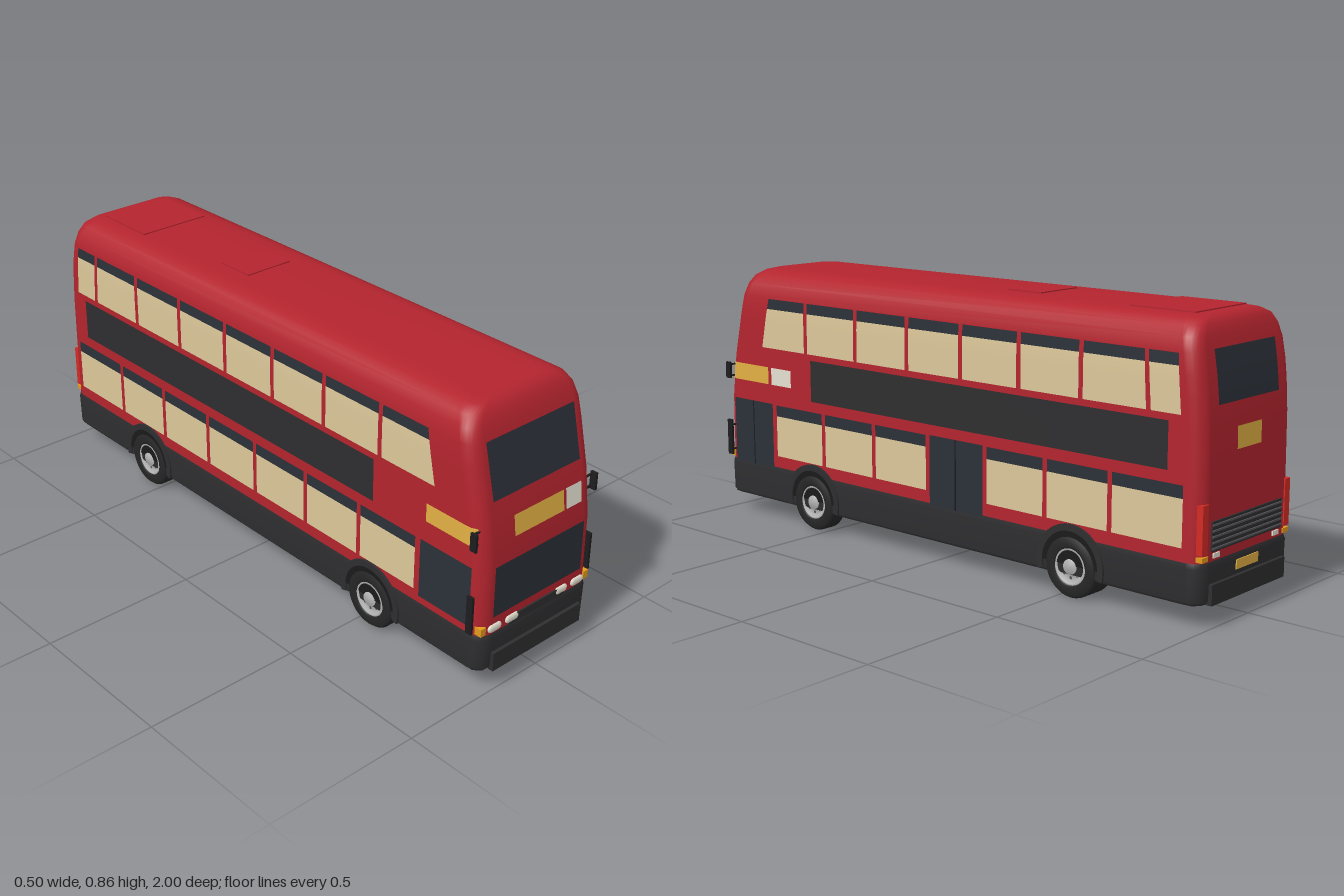
import * as THREE from 'three';

const RED = 0xb3242e, BLACK = 0x2e2e30, GLASS = 0x2b3038, CREAM = 0xdcc79a, AMBER = 0xe2b044, WHITE = 0xe4e0d0;
const R = 0.045; // plan radius of the body corners

// Body levels: [y, half width, front z, back z]
const LEVELS = [
  [0.17, 0.23, 0.985, -0.985], [0.4, 0.23, 0.983, -0.985], [0.55, 0.23, 0.963, -0.983],
  [0.64, 0.23, 0.942, -0.977], [0.7, 0.23, 0.928, -0.97], [0.76, 0.227, 0.914, -0.96],
  [0.8, 0.217, 0.9, -0.95], [0.828, 0.198, 0.885, -0.94], [0.844, 0.165, 0.868, -0.925],
  [0.851, 0.13, 0.845, -0.905],
];
const SKIRT = [[0.065, 0.225, 0.98, -0.98], [0.075, 0.232, 0.988, -0.988], [0.17, 0.233, 0.99, -0.99], [0.185, 0.23, 0.985, -0.985]];

const material = (color, side = THREE.FrontSide) =>
  new THREE.MeshStandardMaterial({ color, side, roughness: 0.6 });

function add(parent, name, geometry, color, position = [0, 0, 0], side) {
  const mesh = new THREE.Mesh(geometry, material(color, side));
  mesh.name = name;
  mesh.position.set(...position);
  parent.add(mesh);
  return mesh;
}
const box = (parent, name, size, position, color) =>
  add(parent, name, new THREE.BoxGeometry(...size), color, position);

// Stack of rounded rectangles, optionally closed on top
function loft(levels, capped) {
  const pos = [], idx = [], steps = 6, n = 4 * (steps + 1);
  for (const [y, w, zf, zb] of levels) {
    for (let c = 0; c < 4; c++) for (let s = 0; s <= steps; s++) {
      const a = (c + s / steps) * Math.PI / 2;
      const cx = (c === 0 || c === 3 ? 1 : -1) * (w - R), cz = c < 2 ? zf - R : zb + R;
      pos.push(cx + R * Math.cos(a), y, cz + R * Math.sin(a));
    }
  }
  for (let l = 0; l < levels.length - 1; l++) for (let i = 0; i < n; i++) {
    const a = l * n + i, b = l * n + (i + 1) % n;
    idx.push(a, a + n, b, b, a + n, b + n);
  }
  if (capped) {
    const top = (levels.length - 1) * n, c = pos.length / 3;
    pos.push(0, levels[levels.length - 1][0] + 0.002, 0);
    for (let i = 0; i < n; i++) idx.push(c, top + (i + 1) % n, top + i);
  }
  const g = new THREE.BufferGeometry();
  g.setAttribute('position', new THREE.Float32BufferAttribute(pos, 3));
  g.setIndex(idx);
  g.computeVertexNormals();
  return g;
}

function levelAt(y) {
  let i = 0;
  while (i < LEVELS.length - 2 && y > LEVELS[i + 1][0]) i++;
  const a = LEVELS[i], b = LEVELS[i + 1];
  const t = THREE.MathUtils.clamp((y - a[0]) / (b[0] - a[0]), 0, 1);
  return a.map((v, k) => v + (b[k] - v) * t);
}
const inset = d => (d <= 0 ? 0 : R - Math.sqrt(Math.max(0, R * R - d * d)));

// Point on the body skin; u is z on the sides and x on the ends
function onSkin(face, u, y, lift) {
  const [, w, zf, zb] = levelAt(y);
  if (face === 'left' || face === 'right') {
    const x = w + lift - inset(Math.max(u - (zf - R), zb + R - u));
    return [face === 'left' ? x : -x, y, u];
  }
  const d = inset(Math.abs(u) - (w - R));
  return [u, y, face === 'front' ? zf + lift - d : zb - lift + d];
}

// Panel lying on the skin: u range at the bottom, y range, u range at the top
function panel(parent, name, face, [u0, u1], [y0, y1], color, [t0, t1] = [u0, u1], lift = 0.003) {
  const g = new THREE.PlaneGeometry(1, 1, 10, 8), p = g.attributes.position;
  for (let i = 0; i < p.count; i++) {
    const s = p.getX(i) + 0.5, t = p.getY(i) + 0.5;
    const a = u0 + (t0 - u0) * t, b = u1 + (t1 - u1) * t;
    p.setXYZ(i, ...onSkin(face, a + (b - a) * s, y0 + (y1 - y0) * t, lift));
  }
  g.computeVertexNormals();
  return add(parent, name, g, color, [0, 0, 0], THREE.DoubleSide);
}

// Pane with a dark opening light along its top
function sideWindow(parent, face, bottom, [y0, y1], strip, top = bottom) {
  const t = (y1 - strip - y0) / (y1 - y0);
  const mid = bottom.map((v, i) => v + (top[i] - v) * t);
  panel(parent, 'windowPane', face, bottom, [y0, y1 - strip], CREAM, mid);
  panel(parent, 'windowVent', face, mid, [y1 - strip, y1], GLASS, top);
}

function buildSide(parent, face) {
  const gap = 0.008;
  const upper = [0.8, 0.575, 0.34, 0.11, -0.115, -0.345, -0.575, -0.81, -0.925];
  for (let i = 0; i < 8; i++) {
    const a = upper[i] - gap, b = upper[i + 1] + gap;
    const top = [i === 0 ? 0.757 : i === 7 ? a + 0.012 : a, i === 7 ? b + 0.014 : i === 6 ? b + 0.01 : b];
    sideWindow(parent, face, [a, b], [0.592, 0.758], 0.034, top);
  }
  panel(parent, 'sidePanel', face, [0.553, -0.877], [0.435, 0.572], BLACK);
  const lower = [0.735, 0.495, 0.26, 0.022, -0.213, -0.447, -0.683, -0.938];
  for (let i = 0; i < 7; i++) {
    const span = [lower[i] - gap, lower[i + 1] + gap];
    if (face === 'left' && i === 3) {
      panel(parent, 'middleDoor', face, span, [0.18, 0.402], GLASS);
      panel(parent, 'doorSeam', face, [-0.093, -0.098], [0.18, 0.402], 0x16191d, undefined, 0.0045);
    } else sideWindow(parent, face, span, [0.225, 0.4], 0.037);
  }
  panel(parent, face === 'left' ? 'frontDoor' : 'driverWindow', face, [0.943, 0.747],
    [face === 'left' ? 0.18 : 0.21, 0.402], GLASS);
  if (face === 'left') panel(parent, 'doorSeam', face, [0.847, 0.842], [0.18, 0.402], 0x16191d, undefined, 0.0045);
  panel(parent, 'destinationSign', face, [0.95, 0.765], [0.468, 0.526], AMBER);
  if (face === 'left') panel(parent, 'routeSign', face, [0.75, 0.652], [0.468, 0.526], WHITE);
}

// Tyre, rim and hub, axis along +x with the outer face outwards
function buildWheel(name, width) {
  const wheel = new THREE.Group();
  wheel.name = name;
  const lathe = pts => new THREE.LatheGeometry(pts.map(p => new THREE.Vector2(...p)), 36).rotateZ(-Math.PI / 2);
  add(wheel, 'tyre', lathe([[0.01, -width], [0.083, -width], [0.095, -width + 0.012], [0.095, -0.012],
    [0.086, -0.001], [0.06, 0], [0.054, -0.006]]), 0x262626, [0, 0, 0], THREE.DoubleSide);
  add(wheel, 'rim', lathe([[0.056, -0.004], [0.05, -0.002], [0.044, -0.01], [0.024, -0.01], [0.022, 0], [0.0001, 0.001]]),
    0xb4b4b4, [0, 0, 0], THREE.DoubleSide);
  for (let i = 0; i < 8; i++) {
    const a = i * Math.PI / 4;
    add(wheel, 'wheelHole', new THREE.CircleGeometry(0.005, 10).rotateY(Math.PI / 2), 0x555555,
      [-0.0085, 0.034 * Math.cos(a), 0.034 * Math.sin(a)]);
  }
  return wheel;
}

export function createModel() {
  const bus = new THREE.Group();
  bus.name = 'doubleDeckBus';
  add(bus, 'body', loft(LEVELS, true), RED);
  add(bus, 'skirt', loft(SKIRT, false), BLACK, [0, 0, 0], THREE.DoubleSide);

  // Underside with openings for the wheels, and the floor above them
  const outline = (w, l, c) => new THREE.Shape([[w - c, l], [w, l - c], [w, c - l], [w - c, -l], [c - w, -l], [-w, c - l], [-w, l - c], [c - w, l]]
    .map(p => new THREE.Vector2(...p)));
  const under = outline(0.225, 0.98, 0.02);
  for (const s of [1, -1]) for (const z of [0.55, -0.545]) {
    under.holes.push(new THREE.Path([[s * 0.222, -z - 0.11], [s * 0.222, -z + 0.11], [s * 0.12, -z + 0.11], [s * 0.12, -z - 0.11]]
      .map(p => new THREE.Vector2(...p))));
  }
  add(bus, 'underside', new THREE.ShapeGeometry(under).rotateX(-Math.PI / 2), 0x202022, [0, 0.066, 0], THREE.DoubleSide);
  add(bus, 'floor', new THREE.ShapeGeometry(outline(0.228, 0.98, 0.02)).rotateX(-Math.PI / 2), 0x202022, [0, 0.178, 0], THREE.DoubleSide);

  for (const face of ['left', 'right']) buildSide(bus, face);

  // Wheels and arches
  const arch = new THREE.Shape();
  arch.absarc(0, 0, 0.122, -0.25, Math.PI + 0.25, false);
  arch.absarc(0, 0, 0.102, Math.PI + 0.25, -0.25, true);
  const archGeometry = new THREE.ExtrudeGeometry(arch, { depth: 0.016, bevelEnabled: false, curveSegments: 28 }).rotateY(Math.PI / 2);
  const well = new THREE.CircleGeometry(0.11, 28, 0, Math.PI).rotateY(Math.PI / 2);
  for (const s of [1, -1]) for (const [name, z, width] of [['frontWheel', 0.55, 0.07], ['rearWheel', -0.545, 0.1]]) {
    const wheel = buildWheel(name, width);
    wheel.position.set(s * 0.238, 0.095, z);
    if (s < 0) wheel.rotation.y = Math.PI;
    bus.add(wheel);
    add(bus, 'wheelArch', archGeometry, BLACK, [s > 0 ? 0.222 : -0.238, 0.1, z]);
    add(bus, 'archLining', well, 0x1a1a1b, [s * 0.2345, 0.1, z], THREE.DoubleSide);
  }

  // Front: windows, signs, grille, lamps and bumper
  panel(bus, 'upperWindscreen', 'front', [-0.176, 0.176], [0.594, 0.76], GLASS);
  panel(bus, 'windscreen', 'front', [-0.183, 0.183], [0.24, 0.402], GLASS);
  panel(bus, 'frontDestination', 'front', [-0.102, 0.1], [0.466, 0.53], AMBER);
  panel(bus, 'frontRoute', 'front', [0.11, 0.174], [0.466, 0.53], WHITE);
  box(bus, 'frontGrille', [0.23, 0.026, 0.008], [0, 0.199, 0.986], BLACK);
  box(bus, 'frontBumper', [0.37, 0.06, 0.02], [0, 0.094, 0.99], BLACK);

  // Rear: window, plates, engine grille and bumper
  panel(bus, 'rearWindow', 'back', [-0.15, 0.15], [0.615, 0.765], GLASS);
  panel(bus, 'rearSign', 'back', [-0.06, 0.06], [0.48, 0.545], AMBER);
  box(bus, 'engineGrille', [0.35, 0.085, 0.008], [0, 0.255, -0.986], BLACK);
  for (let i = 0; i < 5; i++) box(bus, 'grilleSlat', [0.35, 0.005, 0.006], [0, 0.222 + i * 0.0165, -0.991], 0x55565a);
  box(bus, 'rearBumper', [0.37, 0.06, 0.02], [0, 0.094, -0.99], BLACK);
  box(bus, 'rearPlate', [0.11, 0.028, 0.004], [0, 0.152, -0.991], AMBER);

  for (const s of [1, -1]) {
    for (const x of [0.103, 0.173]) {
      const lamp = add(bus, 'headlight', new THREE.CapsuleGeometry(0.0125, 0.028, 6, 14).rotateZ(Math.PI / 2), WHITE, [s * x, 0.203, 0.986]);
      lamp.scale.z = 0.5;
    }
    box(bus, 'frontIndicator', [0.02, 0.025, 0.024], [s * 0.216, 0.203, 0.972], 0xe39a1c);
    box(bus, 'rearLamp', [0.026, 0.14, 0.022], [s * 0.207, 0.28, -0.977], 0xd42a24);
    box(bus, 'rearIndicator', [0.03, 0.014, 0.022], [s * 0.205, 0.197, -0.977], 0xe39a1c);
    box(bus, 'reverseLamp', [0.03, 0.014, 0.006], [s * 0.15, 0.2, -0.986], WHITE);
    // Mirrors on short arms
    for (const [y, h] of [[0.262, 0.122], [0.497, 0.056]]) {
      box(bus, 'mirror', [0.008, h, 0.022], [s * 0.246, y, 0.957], 0x1d1d1f);
      for (const e of [-0.35, 0.35]) box(bus, 'mirrorArm', [0.03, 0.005, 0.006], [s * 0.232, y + e * h, 0.95], 0x1d1d1f);
    }
  }

  // Roof hatches
  box(bus, 'rearHatch', [0.25, 0.006, 0.22], [-0.003, 0.8515, -0.77], RED);
  box(bus, 'middleHatch', [0.17, 0.006, 0.13], [0, 0.8525, -0.24], RED);
  return bus;
}
